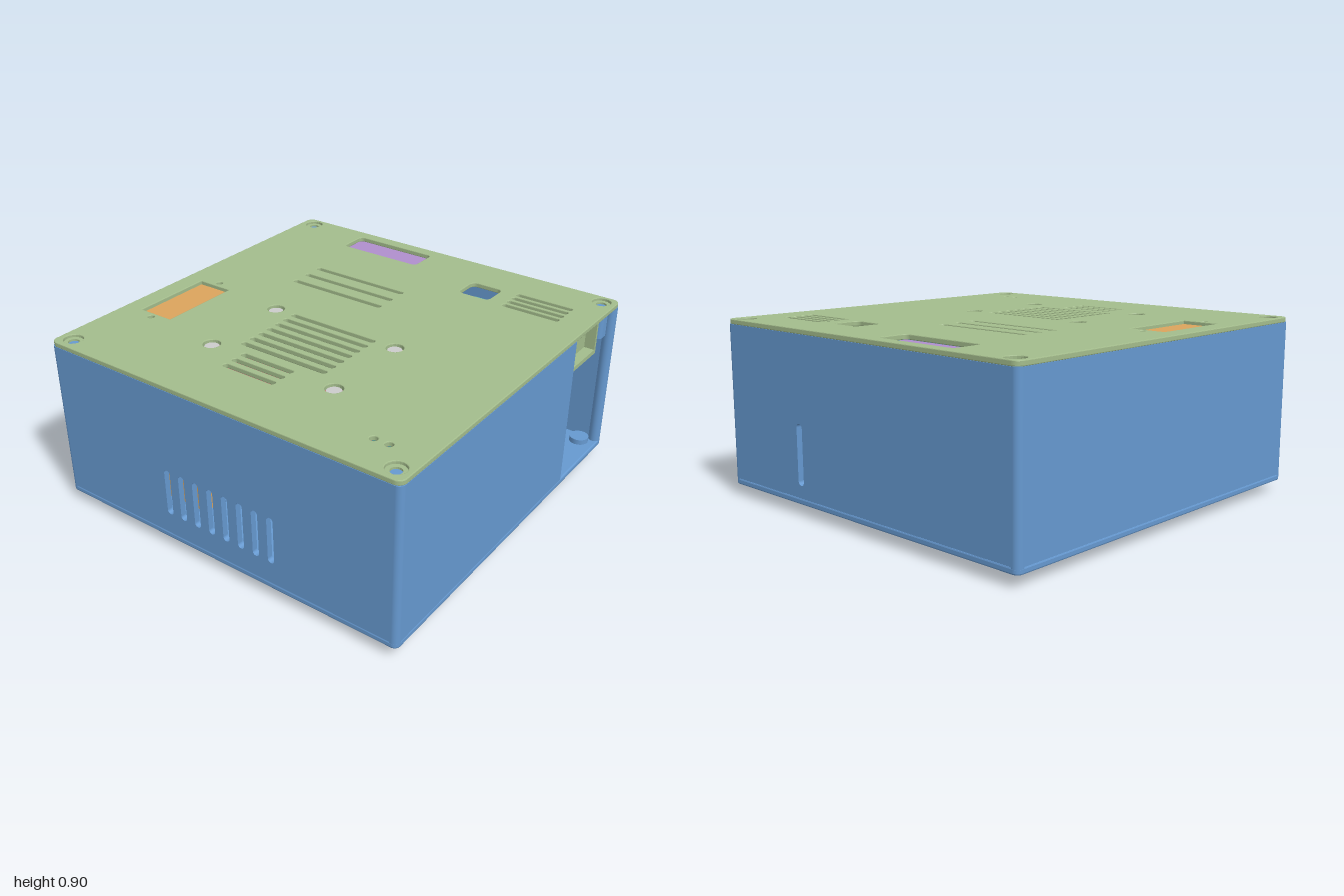
import * as THREE from 'three';

const BLUE = 0x6699d0, GREEN = 0xa3bc8c, PINK = 0xcc5588, RED = 0xc87878, TEAL = 0x68b5ad;
const YELLOW = 0xd0c477, PURPLE = 0xb08fcc, ORANGE = 0xdba45c, CYAN = 0x4fc4cc, GREY = 0xcccccc;

export function createModel() {
  const root = new THREE.Group();
  const add = (name, color, geo) => {
    const m = new THREE.Mesh(geo, new THREE.MeshStandardMaterial({ color }));
    m.name = name;
    root.add(m);
    return m;
  };

  // Rounded rectangle and circle outlines, usable as shapes or holes
  const rr = (x0, x1, y0, y1, r) => {
    const s = new THREE.Shape();
    s.moveTo(x0 + r, y0);
    s.absarc(x1 - r, y0 + r, r, -Math.PI / 2, 0);
    s.absarc(x1 - r, y1 - r, r, 0, Math.PI / 2);
    s.absarc(x0 + r, y1 - r, r, Math.PI / 2, Math.PI);
    s.absarc(x0 + r, y0 + r, r, Math.PI, Math.PI * 1.5);
    return s;
  };
  const disc = (x, y, r) => new THREE.Shape().absarc(x, y, r, 0, Math.PI * 2);
  const slotX = (x0, x1, z, w = 0.03) => rr(x0, x1, z - w / 2, z + w / 2, w * 0.49);

  // Horizontal plate: outline in x and z, between heights y0 and y1
  const plate = (name, color, shape, y0, y1, bevel = 0) => {
    const g = new THREE.ExtrudeGeometry(shape, {
      depth: y1 - y0 - 2 * bevel, bevelEnabled: bevel > 0, bevelThickness: bevel,
      bevelSize: bevel, bevelOffset: -bevel, bevelSegments: 2, curveSegments: 10,
    });
    g.rotateX(Math.PI / 2).translate(0, y1 - bevel, 0);
    return add(name, color, g);
  };
  const box = (name, color, x0, x1, y0, y1, z0, z1) =>
    add(name, color, new THREE.BoxGeometry(x1 - x0, y1 - y0, z1 - z0)
      .translate((x0 + x1) / 2, (y0 + y1) / 2, (z0 + z1) / 2));
  const rod = (name, color, x, z, r, y0, y1) =>
    add(name, color, new THREE.CylinderGeometry(r, r, y1 - y0, 24).translate(x, (y0 + y1) / 2, z));
  const wall = (name, shape, place) =>
    add(name, BLUE, place(new THREE.ExtrudeGeometry(shape, { depth: T, bevelEnabled: false, curveSegments: 8 })));

  const X = 0.99, Z = 0.995, T = 0.03, Y0 = 0.055, YF = 0.087, YT = 0.875, R = 0.03;
  const corners = [[-0.915, -0.93], [0.915, -0.93], [-0.915, 0.92], [0.915, 0.92]];

  // Floor with cable opening, mounting holes and fan vents
  const floor = rr(-X, X, -Z, Z, R);
  floor.holes.push(rr(0.14, 0.28, -0.46, 0.0, 0.065));
  for (const s of [-1, 1]) floor.holes.push(disc(s * 0.45, -0.915, 0.02), disc(s * 0.605, -0.06, 0.02));
  for (const x of [-0.94, -0.2]) for (const z of [0.135, 0.755]) floor.holes.push(disc(x, z, 0.022));
  for (let i = 0; i < 5; i++) floor.holes.push(slotX(-0.89, -0.26, 0.24 + i * 0.105));
  floor.holes.push(slotX(-0.47, -0.24, 0.925));
  plate('floor', BLUE, floor, Y0, YF, 0.008);

  // Front wall with vent slots, back wall with one slot
  const front = rr(-X + R, X - R, YF, YT, 0.0001);
  for (let i = 0; i < 8; i++) {
    const x = -0.286 + i * 0.087;
    front.holes.push(rr(x - 0.018, x + 0.018, 0.2, 0.445, 0.017));
  }
  wall('frontWall', front, g => g.translate(0, 0, Z - T));
  const back = rr(-X + R, X - R, YF, YT, 0.0001);
  back.holes.push(rr(0.395, 0.437, 0.15, 0.45, 0.02));
  wall('backWall', back, g => g.translate(0, 0, -Z));

  // Side walls: the left one stops short to leave a tall opening at the back
  wall('leftWall', rr(-0.5, Z - R, YF, YT, 0.0001), g => g.rotateY(-Math.PI / 2).translate(X, 0, 0));
  wall('rightWall', rr(-Z + R, Z - R, YF, YT, 0.0001), g => g.rotateY(-Math.PI / 2).translate(-X + T, 0, 0));
  for (const sx of [-1, 1]) for (const sz of [-1, 1])
    rod('cornerEdge', BLUE, sx * (X - R), sz * (Z - R), R, YF - 0.01, YT);

  // Screw posts in the corners
  for (const [x, z] of corners) {
    const sx = Math.sign(x), sz = Math.sign(z);
    const p = rr(Math.min(sx * 0.85, sx * 0.955), Math.max(sx * 0.85, sx * 0.955),
      Math.min(sz * 0.87, sz * 0.965), Math.max(sz * 0.87, sz * 0.965), 0.03);
    plate('screwPost', BLUE, p, 0.72, YT);
  }
  rod('floorBoss', BLUE, 0.9, -0.9, 0.05, YF, 0.115);
  rod('floorBoss', BLUE, 0.9, -0.53, 0.025, YF, 0.115);

  // Lid with windows, vents and screw holes
  const lid = rr(-X, X, -Z, Z, 0.04);
  lid.holes.push(rr(-0.573, -0.1, -0.93, -0.77, 0.025), rr(0.268, 0.443, -0.76, -0.61, 0.03));
  lid.holes.push(rr(-0.89, -0.697, 0.07, 0.5, 0.003), disc(-0.793, 0.035, 0.017), disc(-0.793, 0.533, 0.017));
  for (let i = 0; i < 4; i++) lid.holes.push(slotX(0.527, 0.838, -0.756 + i * 0.049));
  for (let i = 0; i < 3; i++) lid.holes.push(slotX(-0.5, 0.05, -0.423 + i * 0.099));
  for (let i = 0; i < 7; i++) lid.holes.push(slotX(-0.25, 0.245, 0.107 + i * 0.062));
  for (let i = 0; i < 3; i++) lid.holes.push(slotX(-0.177, 0.122, 0.565 + i * 0.062));
  lid.holes.push(disc(0.725, 0.8, 0.019), disc(0.8, 0.8, 0.019));
  const studs = [[-0.358, 0.1], [0.355, 0.1], [-0.358, 0.57], [0.355, 0.57]];
  for (const [x, z] of studs) lid.holes.push(disc(x, z, 0.043));
  for (const [x, z] of corners) lid.holes.push(disc(x, z, 0.048));
  plate('lid', GREEN, lid, YT, 0.9, 0.004);
  for (const [x, z] of corners) {
    const seat = disc(x, z, 0.05);
    seat.holes.push(disc(x, z, 0.027));
    plate('screwSeat', GREEN, seat, YT, 0.885);
  }
  for (const [x, z] of studs) rod('speakerStud', GREY, x, z, 0.036, 0.8, 0.887);

  // Parts fixed beneath the lid
  box('speakerPlate', RED, -0.41, 0.41, 0.81, 0.84, 0.05, 0.74);
  box('powerSwitch', ORANGE, -0.885, -0.702, 0.75, 0.883, 0.075, 0.495);
  box('switchFlange', PINK, -0.9, -0.69, 0.74, 0.872, 0.01, 0.56);
  box('displayFace', PURPLE, -0.58, -0.095, 0.78, 0.874, -0.94, -0.765);
  box('displayBoard', RED, -0.58, -0.095, 0.69, 0.78, -0.94, -0.765);
  box('sensorBoard', TEAL, 0.285, 0.87, 0.79, 0.82, -0.765, -0.6);

  // Sensor bay: open-ended housing hanging behind the side opening
  box('bayFloor', GREEN, 0.48, 0.955, 0.665, 0.688, -0.83, -0.502);
  box('bayFrontSide', GREEN, 0.48, 0.955, 0.688, YT, -0.522, -0.502);
  box('bayBackSide', GREEN, 0.48, 0.955, 0.688, YT, -0.83, -0.815);
  box('bayEnd', GREEN, 0.88, 0.9, 0.688, YT, -0.815, -0.522);

  // Fan on the floor vents: square frame, hub and blades
  const frame = rr(-0.95, -0.262, 0.11, 0.79, 0.04);
  frame.holes.push(disc(-0.605, 0.45, 0.31));
  plate('fanFrame', ORANGE, frame, 0.1, 0.27);
  rod('fanHub', ORANGE, -0.605, 0.45, 0.12, 0.13, 0.26);
  for (let i = 0; i < 7; i++) {
    const g = new THREE.BoxGeometry(0.19, 0.012, 0.13).rotateX(0.6).translate(0.205, 0, 0);
    add('fanBlade', ORANGE, g.rotateY(i * Math.PI * 2 / 7).translate(-0.605, 0.19, 0.45));
  }

  // Power block, control unit and circuit board
  box('powerBlock', YELLOW, -0.23, 0.09, 0.14, 0.44, -0.94, -0.53);
  box('controlUnit', PINK, -0.24, 0.6, 0.19, 0.315, -0.14, 0.08);
  box('controlUnitRear', PINK, 0.1, 0.6, 0.19, 0.315, -0.49, -0.14);
  box('circuitBoard', CYAN, -0.32, 0.6, 0.328, 0.36, -0.14, 0.08);

  // Leaning plug pins through the floor opening
  for (const [x, z] of [[0.178, -0.26], [0.24, -0.36]]) {
    const path = new THREE.LineCurve3(new THREE.Vector3(x, 0.014, z), new THREE.Vector3(x, 0.2, z + 0.11));
    add('plugPin', 0x6fb58c, new THREE.TubeGeometry(path, 1, 0.016, 12));
    add('pinTip', 0x6fb58c, new THREE.SphereGeometry(0.016, 12, 8).translate(x, 0.016, z));
  }

  // Wires
  const wire = (name, color, r, pts) => {
    const v = pts.map(p => new THREE.Vector3(...p));
    add(name, color, new THREE.TubeGeometry(new THREE.CatmullRomCurve3(v), 24, r, 12));
    for (const p of [v[0], v[v.length - 1]])
      add(name + 'End', color, new THREE.SphereGeometry(r, 12, 8).translate(p.x, p.y, p.z));
  };
  wire('redWire', 0xa84a4a, 0.026, [[0.22, 0.215, -0.775], [0.22, 0.36, -0.83], [0.23, 0.53, -0.865], [0.22, 0.7, -0.873]]);
  wire('yellowWire', YELLOW, 0.013, [[0.14, 0.33, -0.8], [0.14, 0.43, -0.795], [0.16, 0.55, -0.775], [0.2, 0.67, -0.735], [0.3, 0.79, -0.7]]);

  return root;
}
